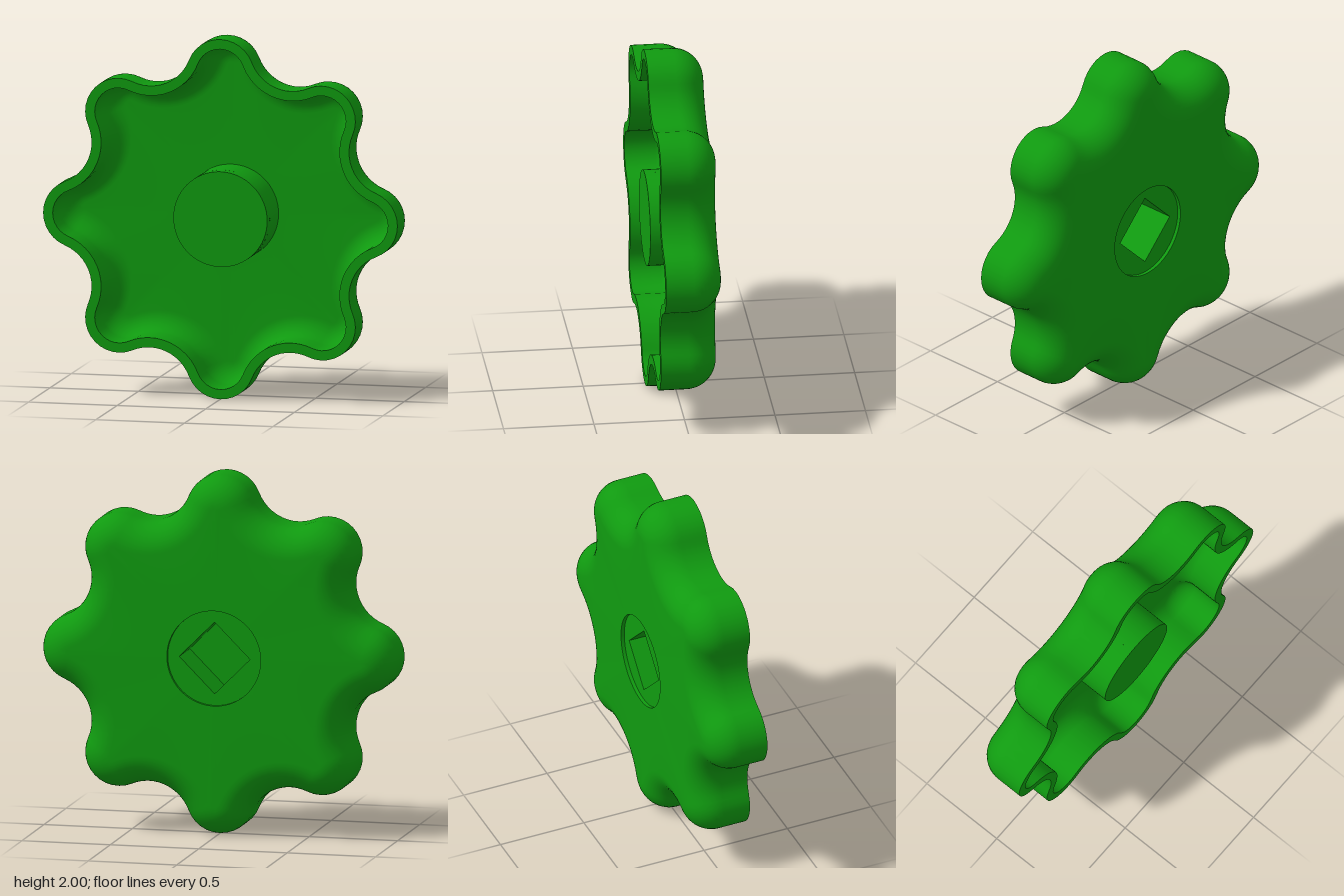
import * as THREE from 'three';
import { toCreasedNormals } from 'three/addons/utils/BufferGeometryUtils.js';

const LOBES = 8, LOBE_DIST = 0.81, LOBE_R = 0.19, VALLEY_DIST = 1.045;
const HALF = 0.16, FILLET = 0.165, WALL = 0.054, HUB_R = 0.265;

const polar = (r, a) => new THREE.Vector2(r * Math.cos(a), r * Math.sin(a));

// Scalloped outline of tangent arcs, moved inward by inset (counterclockwise)
function outline(inset, steps = 12) {
  const step = (Math.PI * 2) / LOBES;
  const toValley = polar(VALLEY_DIST, step / 2).sub(polar(LOBE_DIST, 0));
  const swing = toValley.angle();
  const valleyR = toValley.length() - LOBE_R;
  const points = [];
  for (let k = 0; k < LOBES; k++) {
    const a = k * step;
    const lobe = polar(LOBE_DIST, a), valley = polar(VALLEY_DIST, a + step / 2);
    for (let i = 0; i < steps; i++) {
      const n = a - swing + (2 * swing * i) / steps;
      points.push(lobe.clone().add(polar(LOBE_R - inset, n)));
    }
    for (let i = 0; i < steps; i++) {
      const n = a + swing + ((step - 2 * swing) * i) / steps;
      points.push(valley.clone().sub(polar(valleyR + inset, n)));
    }
  }
  return points;
}

// Hollow dish: closed wall section carried around the outline
function dishGeometry() {
  const rings = [];
  const addRing = (points, z) => rings.push(points.map((p) => [p.x, p.y, z]));
  const bore = outline(FILLET).map((p) => polar(HUB_R, p.angle()));
  const arc = 12, centreZ = FILLET - HALF;
  const filletRing = (radius, t) =>
    addRing(outline(FILLET - radius * Math.sin(t)), centreZ - radius * Math.cos(t));

  addRing(bore, -HALF);
  for (let i = 0; i <= arc; i++) filletRing(FILLET, (i / arc) * Math.PI / 2);
  addRing(outline(0), HALF);
  addRing(outline(WALL), HALF);
  for (let i = arc; i >= 0; i--) filletRing(FILLET - WALL, (i / arc) * Math.PI / 2);
  addRing(bore, -HALF + WALL);

  const n = bore.length, index = [];
  for (let i = 0; i < rings.length; i++) {
    const next = (i + 1) % rings.length;
    for (let j = 0; j < n; j++) {
      const k = (j + 1) % n;
      const a = i * n + j, b = i * n + k, c = next * n + k, d = next * n + j;
      index.push(a, b, c, a, c, d);
    }
  }
  const geometry = new THREE.BufferGeometry();
  geometry.setAttribute('position', new THREE.Float32BufferAttribute(rings.flat(2), 3));
  geometry.setIndex(index);
  return toCreasedNormals(geometry, 0.6);
}

export function createModel() {
  const model = new THREE.Group();
  model.name = 'handwheel';
  const material = new THREE.MeshStandardMaterial({ color: 0x109a10 });
  const add = (name, geometry, z = 0) => {
    const mesh = new THREE.Mesh(geometry, material);
    mesh.name = name;
    mesh.position.set(0, 1, z);
    model.add(mesh);
  };

  add('scallopedDish', dishGeometry());

  // Hub with a square socket open to the back, set slightly below the back face
  const hubBack = -0.14, socketFloor = 0.1, socketCorner = 0.2;
  const section = new THREE.Shape().absarc(0, 0, HUB_R, 0, Math.PI * 2);
  section.holes.push(new THREE.Path([0, 1, 2, 3].map((i) => polar(socketCorner, -i * Math.PI / 2))));
  const sleeve = new THREE.ExtrudeGeometry(section, {
    depth: socketFloor - hubBack, bevelEnabled: false, curveSegments: 64,
  });
  add('hubSleeve', toCreasedNormals(sleeve, 0.6), hubBack);

  // Solid front end of the hub, flush with the rim
  const cap = new THREE.CylinderGeometry(HUB_R, HUB_R, HALF - socketFloor, 64);
  cap.rotateX(Math.PI / 2);
  add('hubCap', cap, (HALF + socketFloor) / 2);

  return model;
}
